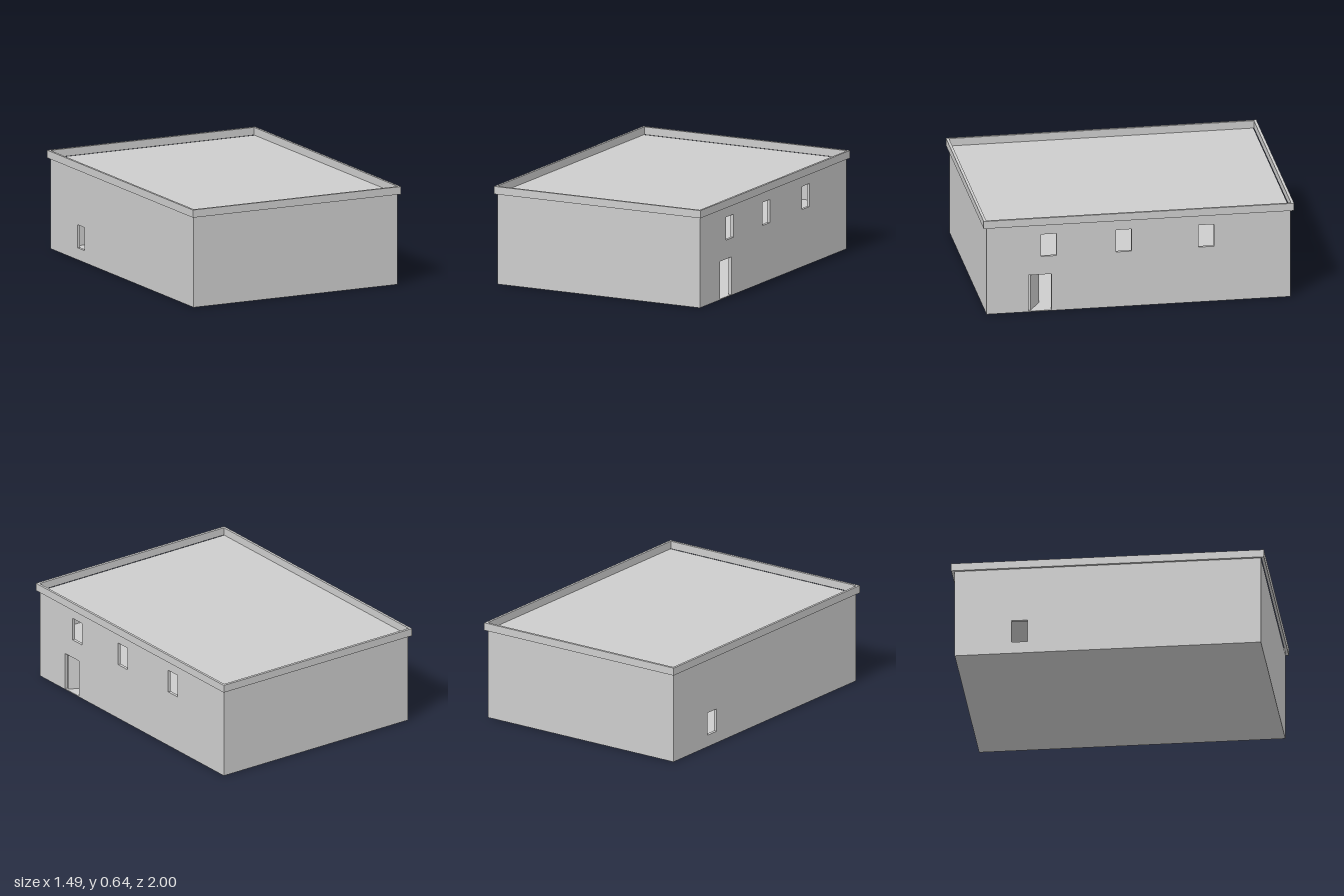
import * as THREE from 'three';

const W = 0.731, D = 0.979;      // half width and half depth of the walls
const H = 0.59, T = 0.02;        // wall height and thickness
const STOREY = 0.295;

export function createModel() {
  const group = new THREE.Group();
  const plaster = new THREE.MeshStandardMaterial({ color: 0xcccccc });
  plaster.name = 'grey plaster';

  const add = (name, geometry, x, y, z) => {
    const mesh = new THREE.Mesh(geometry, plaster);
    mesh.name = name;
    mesh.position.set(x, y, z);
    group.add(mesh);
    return mesh;
  };
  const rectangle = (Type, x0, y0, x1, y1) => {
    const r = new Type();
    r.moveTo(x0, y0);
    r.lineTo(x1, y0);
    r.lineTo(x1, y1);
    r.lineTo(x0, y1);
    r.closePath();
    return r;
  };
  const extrude = (shape, depth) =>
    new THREE.ExtrudeGeometry(shape, { depth, bevelEnabled: false });

  // Side walls are drawn with u = -z, then turned to face sideways
  const windowHole = (z, y) => rectangle(THREE.Path, -z - 0.05, y, -z + 0.05, y + 0.15);
  const sideWall = (name, shape, x) => add(name, extrude(shape, T).rotateY(Math.PI / 2), x, 0, 0);

  // Left wall with a doorway and three upper windows
  const left = new THREE.Shape();
  left.moveTo(-D, 0);
  for (const [u, y] of [[-0.71, 0], [-0.71, 0.25], [-0.56, 0.25], [-0.56, 0], [D, 0], [D, H], [-D, H]]) {
    left.lineTo(u, y);
  }
  left.closePath();
  for (const z of [0.58, 0.095, -0.437]) left.holes.push(windowHole(z, 0.373));
  sideWall('leftWall', left, W - T);

  // Right wall with one lower window
  const right = rectangle(THREE.Shape, -D, 0, D, H);
  right.holes.push(windowHole(-0.565, 0.078));
  sideWall('rightWall', right, -W);

  // Front and back walls
  for (const [name, s] of [['frontWall', 1], ['backWall', -1]]) {
    add(name, new THREE.BoxGeometry(2 * (W - T), H, T), 0, H / 2, s * (D - T / 2));
  }

  // Ground floor, upper floor and roof slabs between the walls
  const slab = (name, top, thick) =>
    add(name, new THREE.BoxGeometry(2 * (W - T), thick, 2 * (D - T)), 0, top - thick / 2, 0);
  slab('groundFloor', 0.005, 0.005);
  slab('upperFloor', STOREY, T);
  slab('roof', H, T);
  add('doorSill', new THREE.BoxGeometry(T, 0.005, 0.15), W - T / 2, 0.0025, 0.635);

  // Overhanging parapet ring
  const ring = rectangle(THREE.Shape, -0.747, -1, 0.747, 1);
  ring.holes.push(rectangle(THREE.Path, -W, -0.982, W, 0.982));
  add('parapet', extrude(ring, 0.05).rotateX(-Math.PI / 2), 0, H, 0);

  // Door leaf swung inwards by sixty degrees
  const leaf = new THREE.BoxGeometry(0.0175, 0.244, 0.15).translate(0.00875, 0.122, -0.075);
  const door = add('door', leaf, W - T, 0.005, 0.71);
  door.rotation.y = Math.PI / 3;

  return group;
}
